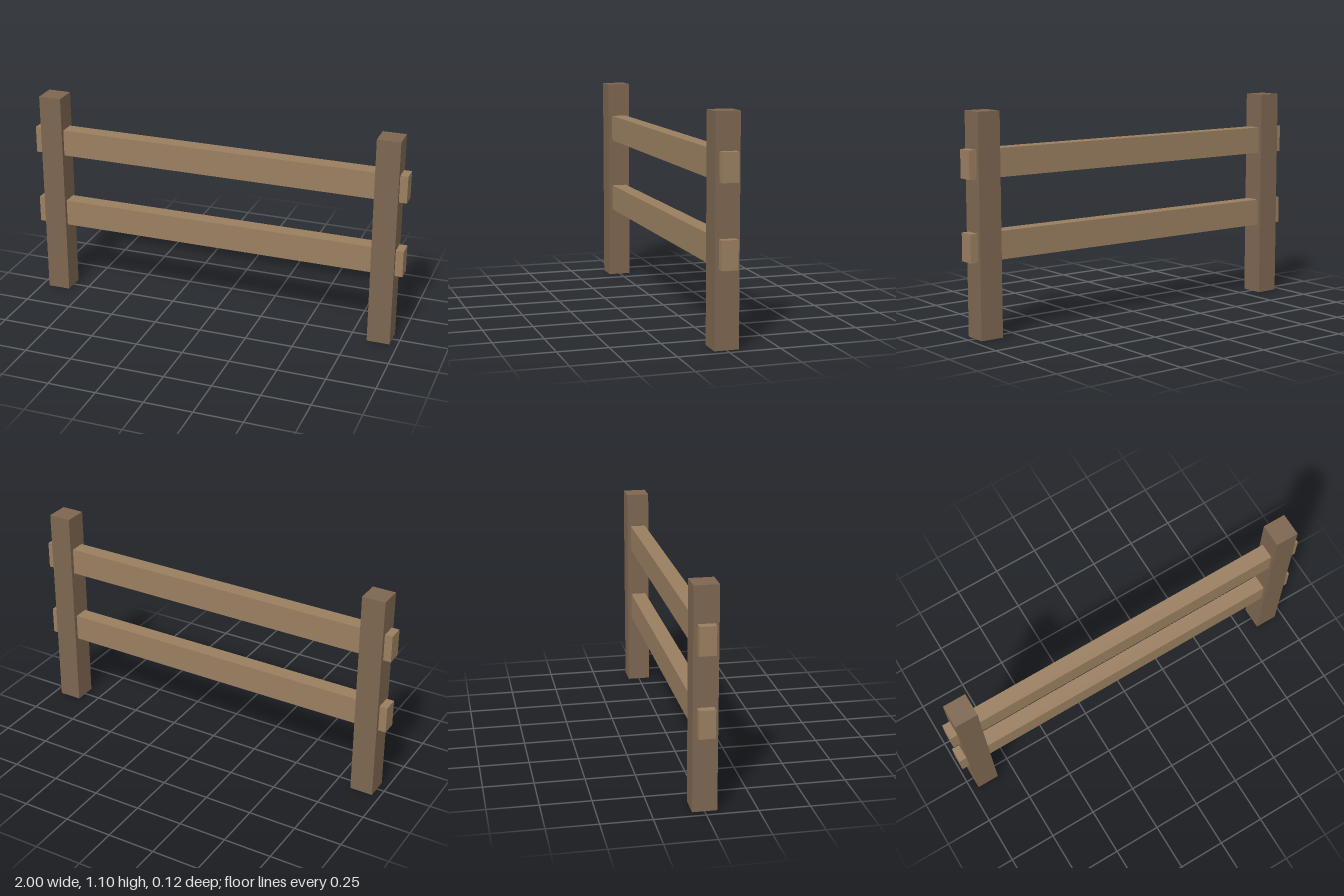
import * as THREE from 'three';

export function createModel() {
  const fence = new THREE.Group();
  fence.name = 'fence';

  const postWood = new THREE.MeshStandardMaterial({ color: 0x7d6650 });
  const railWood = new THREE.MeshStandardMaterial({ color: 0x9a7f60 });

  function addBeam(name, size, position, material) {
    const beam = new THREE.Mesh(new THREE.BoxGeometry(...size), material);
    beam.name = name;
    beam.position.set(...position);
    fence.add(beam);
  }

  // Square posts standing on the ground
  for (const [name, side] of [['leftPost', 1], ['rightPost', -1]]) {
    addBeam(name, [0.12, 1.1, 0.12], [side * 0.9, 0.55, 0], postWood);
  }

  // Rails running through both posts, with short ends sticking out
  for (const [name, y] of [['lowerRail', 0.45], ['upperRail', 0.85]]) {
    addBeam(name, [2, 0.14, 0.08], [0, y, 0], railWood);
  }

  return fence;
}
